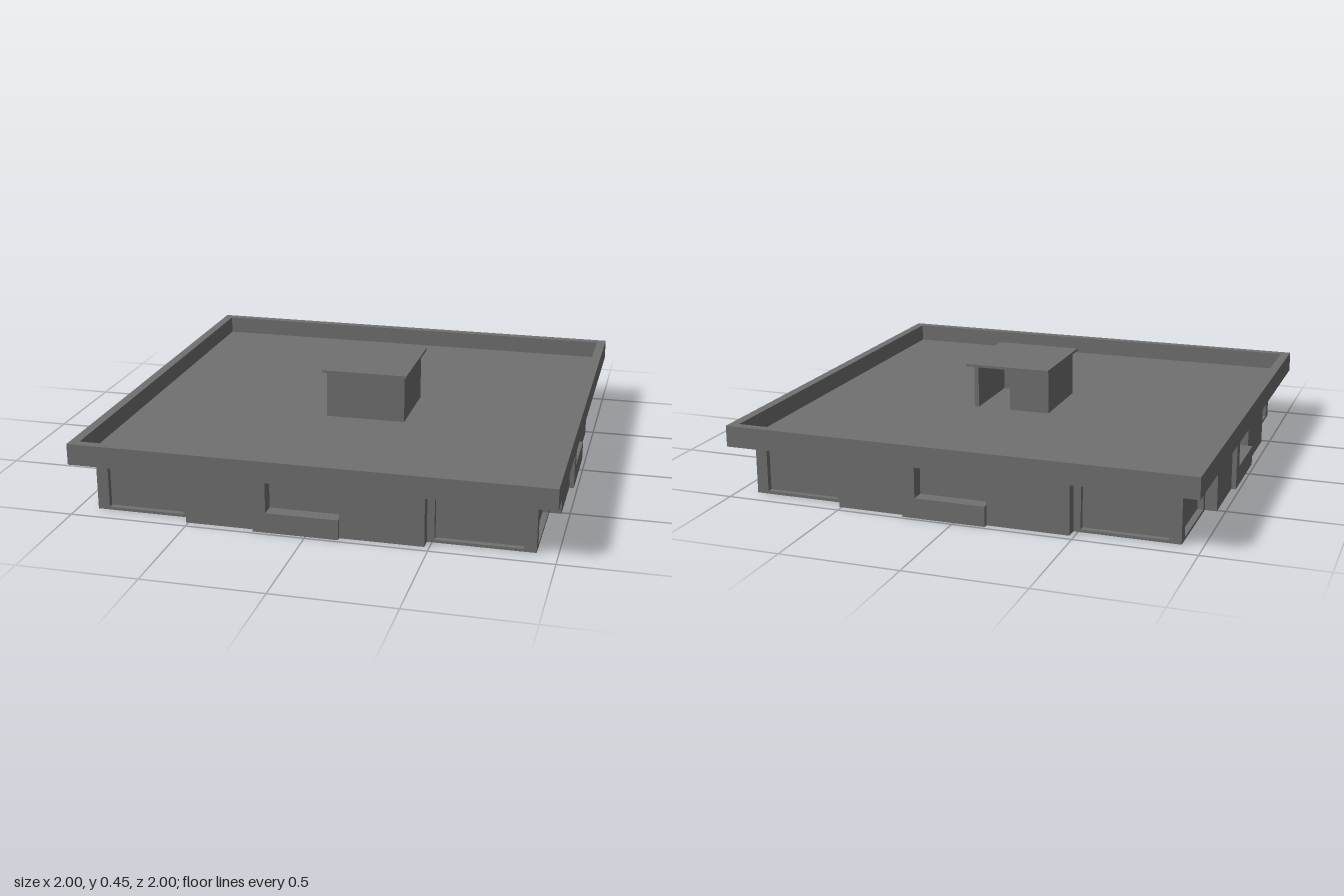
import * as THREE from 'three';

export function createModel() {
  const model = new THREE.Group();
  model.name = 'pavilion';
  const grey = new THREE.MeshStandardMaterial({ color: 0x707070 });
  grey.name = 'concrete grey';

  // box given by its minimum and maximum on each axis
  const box = (parent, name, x0, x1, y0, y1, z0, z1) => {
    const mesh = new THREE.Mesh(new THREE.BoxGeometry(x1 - x0, y1 - y0, z1 - z0), grey);
    mesh.position.set((x0 + x1) / 2, (y0 + y1) / 2, (z0 + z1) / 2);
    mesh.name = name;
    parent.add(mesh);
    return mesh;
  };

  const wallTop = 0.22, roofTop = 0.31, deck = 0.232;

  // floor slab and inner walls
  box(model, 'floorSlab', -0.915, 0.915, 0, 0.012, -0.915, 0.915);
  box(model, 'innerWalls', -0.89, 0.89, 0.012, wallTop, -0.89, 0.89);

  // the same facade repeats on all four sides
  for (let i = 0; i < 4; i++) {
    const side = new THREE.Group();
    side.name = 'facade' + (i + 1);
    side.rotation.y = i * Math.PI / 2;
    box(side, 'cornerPier', 0.865, 0.915, 0, wallTop, 0.865, 0.915);
    box(side, 'leftJamb', -0.54, -0.51, 0, wallTop, 0.87, 0.915);
    box(side, 'rightJamb', 0.48, 0.51, 0, wallTop, 0.87, 0.915);
    box(side, 'leftWall', -0.51, -0.22, 0, wallTop, 0.87, 0.965);
    box(side, 'rightWall', 0.135, 0.48, 0, wallTop, 0.87, 0.965);
    box(side, 'windowPost', -0.22, -0.165, 0, wallTop, 0.87, 0.985);
    box(side, 'windowSill', -0.165, 0.135, 0, 0.085, 0.87, 0.985);
    box(side, 'windowPane', -0.165, 0.135, 0.085, wallTop, 0.87, 0.925);
    model.add(side);
  }

  // roof deck inside a raised square parapet
  box(model, 'roofDeck', -0.96, 0.96, wallTop, deck, -0.96, 0.96);
  const square = (path, r) => path.moveTo(-r, -r).lineTo(r, -r).lineTo(r, r).lineTo(-r, r).closePath();
  const ring = square(new THREE.Shape(), 1);
  ring.holes.push(square(new THREE.Path(), 0.96));
  const parapet = new THREE.Mesh(
    new THREE.ExtrudeGeometry(ring, { depth: roofTop - wallTop, bevelEnabled: false }), grey);
  parapet.rotation.x = -Math.PI / 2;
  parapet.position.y = wallTop;
  parapet.name = 'parapet';
  model.add(parapet);

  // stair cabin with a doorway at the back and an overhanging cover
  const cabin = new THREE.Group();
  cabin.name = 'stairCabin';
  const top = 0.435, t = 0.02;
  box(cabin, 'cabinFrontWall', -0.12, 0.23, deck, top, 0.205 - t, 0.205);
  box(cabin, 'cabinRightWall', -0.12, -0.12 + t, deck, top, -0.147, 0.205 - t);
  box(cabin, 'cabinLeftWall', 0.23 - t, 0.23, deck, top, -0.147, 0.205 - t);
  box(cabin, 'cabinBackWall', -0.12 + t, 0.06, deck, top, -0.147, -0.147 + t);
  box(cabin, 'cabinCover', -0.14, 0.24, top, 0.446, -0.217, 0.215);
  model.add(cabin);

  return model;
}
